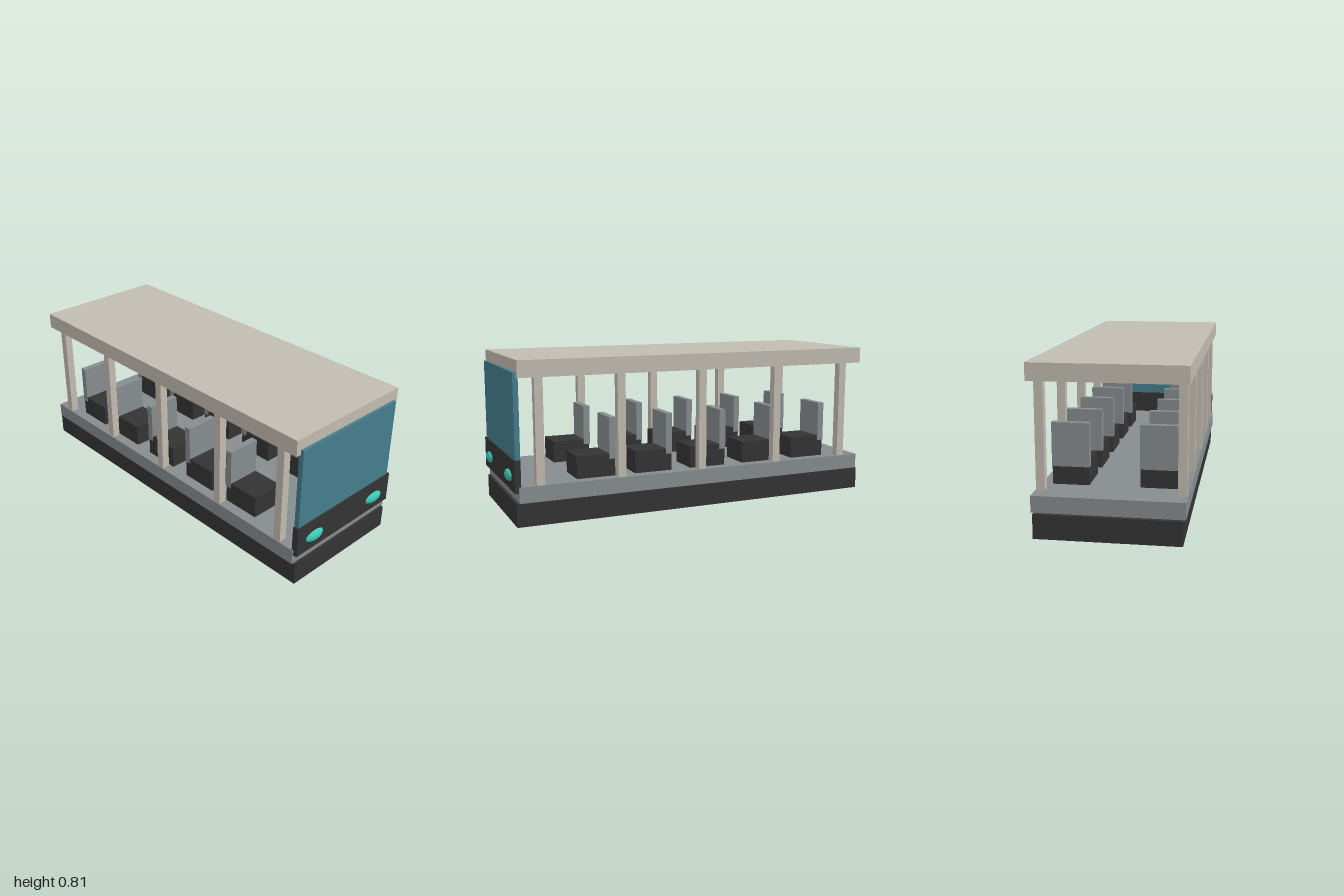
import * as THREE from 'three';

const material = (name, color) => {
  const m = new THREE.MeshStandardMaterial({ color });
  m.name = name;
  return m;
};

export function createModel() {
  const cream = material('cream', 0xc2bcb1);
  const charcoal = material('charcoal', 0x343434);
  const grey = material('grey', 0x868c8f);
  const glass = material('blue glass', 0x457e8d);
  const teal = material('teal', 0x3cc8b4);

  const model = new THREE.Group();
  model.name = 'openTram';

  // Box given by its extents along each axis
  const box = (name, mat, [x0, x1], [y0, y1], [z0, z1], parent = model) => {
    const mesh = new THREE.Mesh(new THREE.BoxGeometry(x1 - x0, y1 - y0, z1 - z0), mat);
    mesh.position.set((x0 + x1) / 2, (y0 + y1) / 2, (z0 + z1) / 2);
    mesh.name = name;
    parent.add(mesh);
    return mesh;
  };

  // Chassis, floor and roof
  box('chassis', charcoal, [-0.343, 0.343], [0, 0.117], [-1, 0.972]);
  box('floor', grey, [-0.354, 0.354], [0.12, 0.2], [-0.986, 0.96]);
  box('roof', cream, [-0.365, 0.365], [0.725, 0.808], [-0.982, 0.957]);

  // Front end
  box('windshield', glass, [-0.337, 0.337], [0.328, 0.75], [0.947, 0.973]);
  box('frontPanel', charcoal, [-0.348, 0.348], [0.17, 0.33], [0.949, 0.98]);

  const lampGeometry = new THREE.SphereGeometry(1, 32, 20);
  for (const side of [-1, 1]) {
    const lamp = new THREE.Mesh(lampGeometry, teal);
    lamp.name = 'headlight';
    lamp.scale.set(0.062, 0.03, 0.025);
    lamp.position.set(side * 0.226, 0.239, 0.975);
    model.add(lamp);

    // Roof posts
    for (const z of [0.853, 0.435, -0.012, -0.459, -0.879]) {
      const x = side * 0.329;
      box('roofPost', cream, [x - 0.021, x + 0.021], [0.2, 0.725], [z - 0.021, z + 0.021]);
    }

    // Two columns of five seats, facing forward
    for (let row = 0; row < 5; row++) {
      const seat = new THREE.Group();
      seat.name = 'seat';
      seat.position.set(side * 0.21, 0.2, 0.556 - row * 0.311);
      box('seatBase', charcoal, [-0.088, 0.088], [0, 0.115], [-0.101, 0.101], seat);
      box('seatBack', grey, [-0.09, 0.09], [0.088, 0.3], [-0.105, -0.07], seat);
      model.add(seat);
    }
  }

  return model;
}
